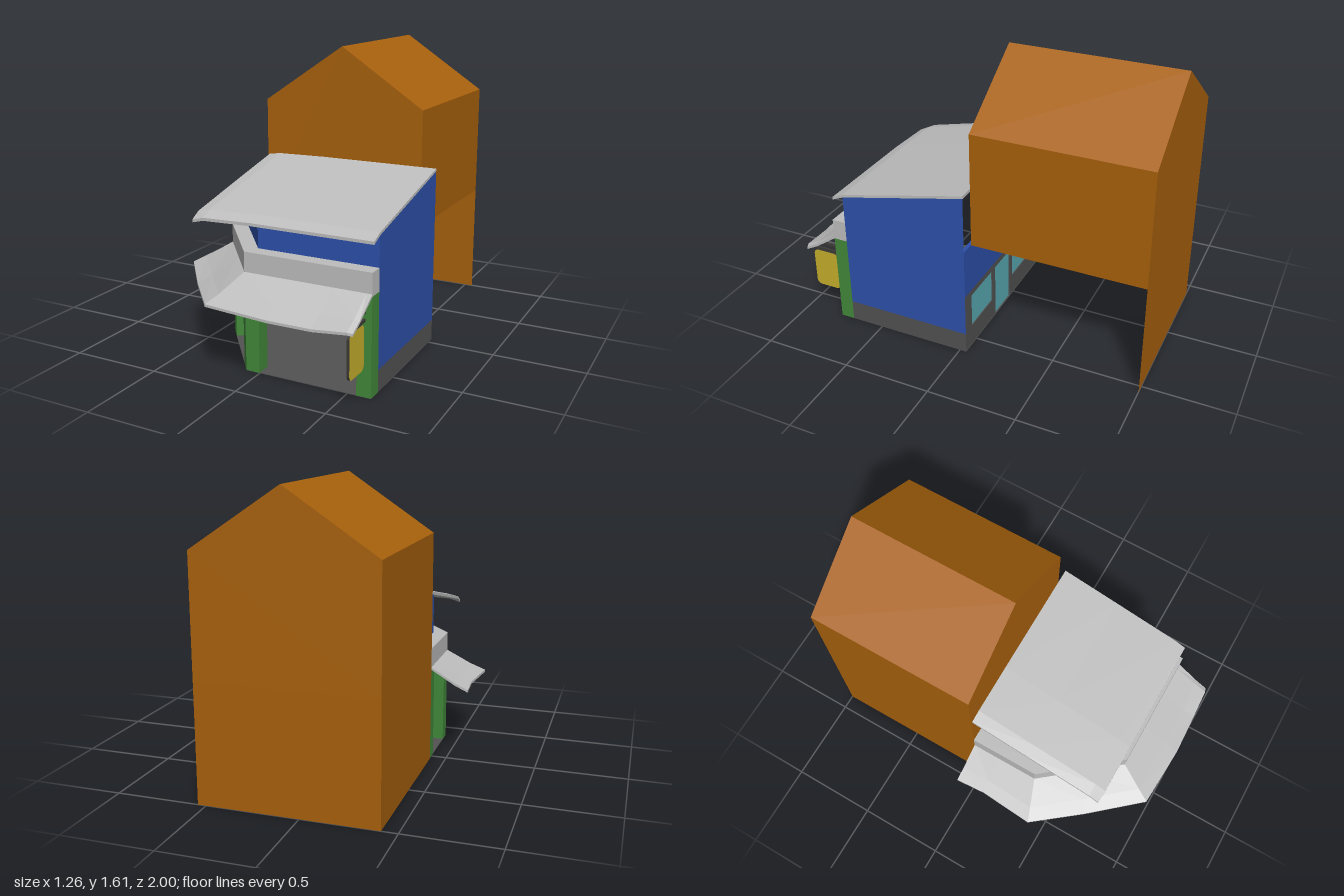
import * as THREE from 'three';

const mat = (name, color, side = THREE.FrontSide) => {
  const m = new THREE.MeshStandardMaterial({ color, side });
  m.name = name;
  return m;
};
const D = THREE.DoubleSide;

// Plan outline of the shop (x, z): open sides with one cut corner
const OUTER = [[-0.415, -0.04], [-0.415, 0.36], [-0.08, 0.77], [0.63, 0.77]];
const INNER = [[-0.335, -0.04], [-0.335, 0.33], [-0.045, 0.69], [0.63, 0.69]];
const roofUnder = (x, z) => 0.968 - 0.163 * (z + 0.04) / 0.73;

// Geometry from a list of quads, each four corner points
function quads(list) {
  const pos = [];
  for (const [a, b, c, d] of list) pos.push(...a, ...b, ...c, ...a, ...c, ...d);
  const g = new THREE.BufferGeometry();
  g.setAttribute('position', new THREE.Float32BufferAttribute(pos, 3));
  g.computeVertexNormals();
  return g;
}

// Thin upright wall along a plan path, with a flat or sloping top
function wall(path, y0, top) {
  const list = [];
  for (let i = 0; i < path.length - 1; i++) {
    const [x0, z0] = path[i], [x1, z1] = path[i + 1];
    list.push([[x0, y0, z0], [x1, y0, z1], [x1, top(x1, z1), z1], [x0, top(x0, z0), z0]]);
  }
  return quads(list);
}

// Closed sheet of thickness t, lofted through rows of points
function sheet(rows, t) {
  const list = [], low = ([x, y, z]) => [x, y - t, z];
  const R = rows.length - 1, C = rows[0].length - 1;
  for (let r = 0; r < R; r++) for (let c = 0; c < C; c++) {
    const q = [rows[r][c], rows[r + 1][c], rows[r + 1][c + 1], rows[r][c + 1]];
    list.push(q, q.map(low).reverse());
  }
  const rim = (a, b) => list.push([a, low(a), low(b), b]);
  for (let c = 0; c < C; c++) {
    rim(rows[R][c], rows[R][c + 1]);
    rim(rows[0][c + 1], rows[0][c]);
  }
  for (let r = 0; r < R; r++) {
    rim(rows[r][0], rows[r + 1][0]);
    rim(rows[r + 1][C], rows[r][C]);
  }
  return quads(list);
}

// Upright prism over a plan polygon
function prism(plan, y0, y1) {
  const s = new THREE.Shape(plan.map(([x, z]) => new THREE.Vector2(x, -z)));
  const g = new THREE.ExtrudeGeometry(s, { depth: y1 - y0, bevelEnabled: false });
  return g.rotateX(-Math.PI / 2).translate(0, y0, 0);
}

const rect = (x0, x1, y0, y1) =>
  [[x0, y0], [x1, y0], [x1, y1], [x0, y1]].map(p => new THREE.Vector2(...p));

function box(x0, x1, y0, y1, z0, z1) {
  return new THREE.BoxGeometry(x1 - x0, y1 - y0, z1 - z0)
    .translate((x0 + x1) / 2, (y0 + y1) / 2, (z0 + z1) / 2);
}

export function createModel() {
  const brown = mat('houseBrown', 0xa8610c, D);
  const blue = mat('wallBlue', 0x2d50aa, D);
  const pale = mat('roofGrey', 0xbebebe, D);
  const dark = mat('baseGrey', 0x525252, D);
  const green = mat('pillarGreen', 0x41883a);
  const glass = mat('glassTeal', 0x5aabb4);
  const yellow = mat('signYellow', 0xc6af2c);
  const frame = mat('metalDark', 0x3c3a36);

  const model = new THREE.Group();
  model.name = 'cornerShop';
  const add = (name, geo, material) => {
    const m = new THREE.Mesh(geo, material);
    m.name = name;
    model.add(m);
    return m;
  };

  // Gabled house behind: solid upper block on two thin lower walls
  const gable = new THREE.Shape([[-0.415, 0.645], [0.545, 0.645], [0.545, 1.29], [0.065, 1.61], [-0.415, 1.29]]
    .map(p => new THREE.Vector2(...p)));
  add('houseUpper', new THREE.ExtrudeGeometry(gable, { depth: 0.96, bevelEnabled: false }).translate(0, 0, -1), brown);
  add('houseLowerWalls', wall([[-0.415, -0.04], [-0.415, -1], [0.545, -1]], 0, () => 0.645), brown);

  // Shop floor and side wall
  add('shopFloor', prism([...OUTER, [0.63, -0.04]], 0, 0.004), dark);
  const side = [[0.63, -0.04], [0.63, 0.69]];
  add('sideWallBase', wall(side, 0, () => 0.12), dark);
  add('sideWall', wall(side, 0.12, roofUnder), blue);

  // Recessed shop front with openings for two windows and a door
  const panes = [[-0.3, 0.018, 0.125, 0.325], [0.055, 0.25, 0.004, 0.325], [0.29, 0.55, 0.125, 0.325]];
  const front = new THREE.Shape(rect(-0.335, 0.628, 0, 0.36));
  for (const p of panes) front.holes.push(new THREE.Path(rect(...p)));
  add('shopFront', new THREE.ExtrudeGeometry(front, { depth: 0.02, bevelEnabled: false }).translate(0, 0, -0.038), dark);
  panes.forEach((p, i) => add(i === 1 ? 'door' : 'window', box(...p, -0.032, -0.024), glass));
  add('shopFrontUpper', box(-0.335, 0.628, 0.36, 0.645, -0.038, -0.018), blue);

  // Pillars at the corners of the open sides
  const pillars = {
    backPillar: [[-0.415, -0.04], [-0.415, 0.03], [-0.335, 0.03], [-0.335, -0.04]],
    sidePillar: [[-0.415, 0.28], [-0.415, 0.36], [-0.365, 0.421], [-0.322, 0.386], [-0.335, 0.33], [-0.335, 0.28]],
    middlePillar: [[-0.13, 0.709], [-0.08, 0.77], [0, 0.77], [0, 0.69], [-0.045, 0.69], [-0.068, 0.658]],
    frontPillar: [[0.55, 0.69], [0.55, 0.77], [0.63, 0.77], [0.63, 0.69]],
  };
  for (const [name, plan] of Object.entries(pillars)) add(name, prism(plan, 0, 0.525), green);

  // Parapet band and set-back upper wall
  add('parapet', prism([...OUTER, ...[...INNER].reverse()], 0.525, 0.645), pale);
  add('upperWall', wall(INNER, 0.53, roofUnder), blue);

  // Sloping roof with a turned-down lip and a drooping free edge
  const profile = [[-0.04, 0.983, 0.015], [0.3, 0.908, 0.018], [0.69, 0.82, 0.022], [0.755, 0.793, 0.028]];
  const stations = [[-0.405, 1], [-0.335, 0.35], [-0.05, 0], [0.63, 0]];
  add('roof', sheet(profile.map(([z, y, droop]) =>
    stations.map(([x, k]) => [x, y - droop * k, z - (z > 0.7 ? 0.008 * k : 0)])), 0.016), pale);

  // Awning wrapped round the open sides, with a wavy outer edge
  const inner = [[-0.415, -0.04], [-0.415, 0.13], [-0.415, 0.36], [-0.25, 0.562], [-0.08, 0.77],
    [0.18, 0.77], [0.42, 0.77], [0.6, 0.77], [0.63, 0.77]];
  const outer = [[-0.622, 0.425, -0.04], [-0.61, 0.425, 0.13], [-0.63, 0.412, 0.44], [-0.42, 0.398, 0.7],
    [-0.18, 0.418, 0.98], [0.18, 0.408, 1], [0.42, 0.404, 0.99], [0.6, 0.418, 0.98], [0.625, 0.412, 0.97]];
  const row = t => inner.map(([x, z], i) => {
    const [ox, oy, oz] = outer[i];
    const sag = 0.03 * t * (1 - t);
    return [x + (ox - x) * t, 0.538 + (oy - 0.538) * t - sag, z + (oz - z) * t];
  });
  add('awning', sheet([row(0), row(0.65), row(1)], 0.014), pale);

  // Hanging sign on a bracket
  add('signBracket', box(0.583, 0.597, 0.395, 0.41, 0.77, 0.94), frame);
  add('signBracketBrace', box(0.583, 0.597, 0.435, 0.447, 0.77, 0.89), frame);
  const w = 0.08, h = 0.118, r = 0.03;
  const plate = new THREE.Shape();
  plate.absarc(w - r, h - r, r, 0, Math.PI / 2);
  plate.absarc(-w + r, h - r, r, Math.PI / 2, Math.PI);
  plate.absarc(-w + r, -h + r, r, Math.PI, Math.PI * 1.5);
  plate.absarc(w - r, -h + r, r, Math.PI * 1.5, Math.PI * 2);
  const sign = add('sign', new THREE.ExtrudeGeometry(plate, { depth: 0.014, bevelEnabled: false, curveSegments: 5 }), [yellow, frame]);
  sign.rotation.y = Math.PI / 2;
  sign.position.set(0.583, 0.273, 0.866);

  return model;
}
